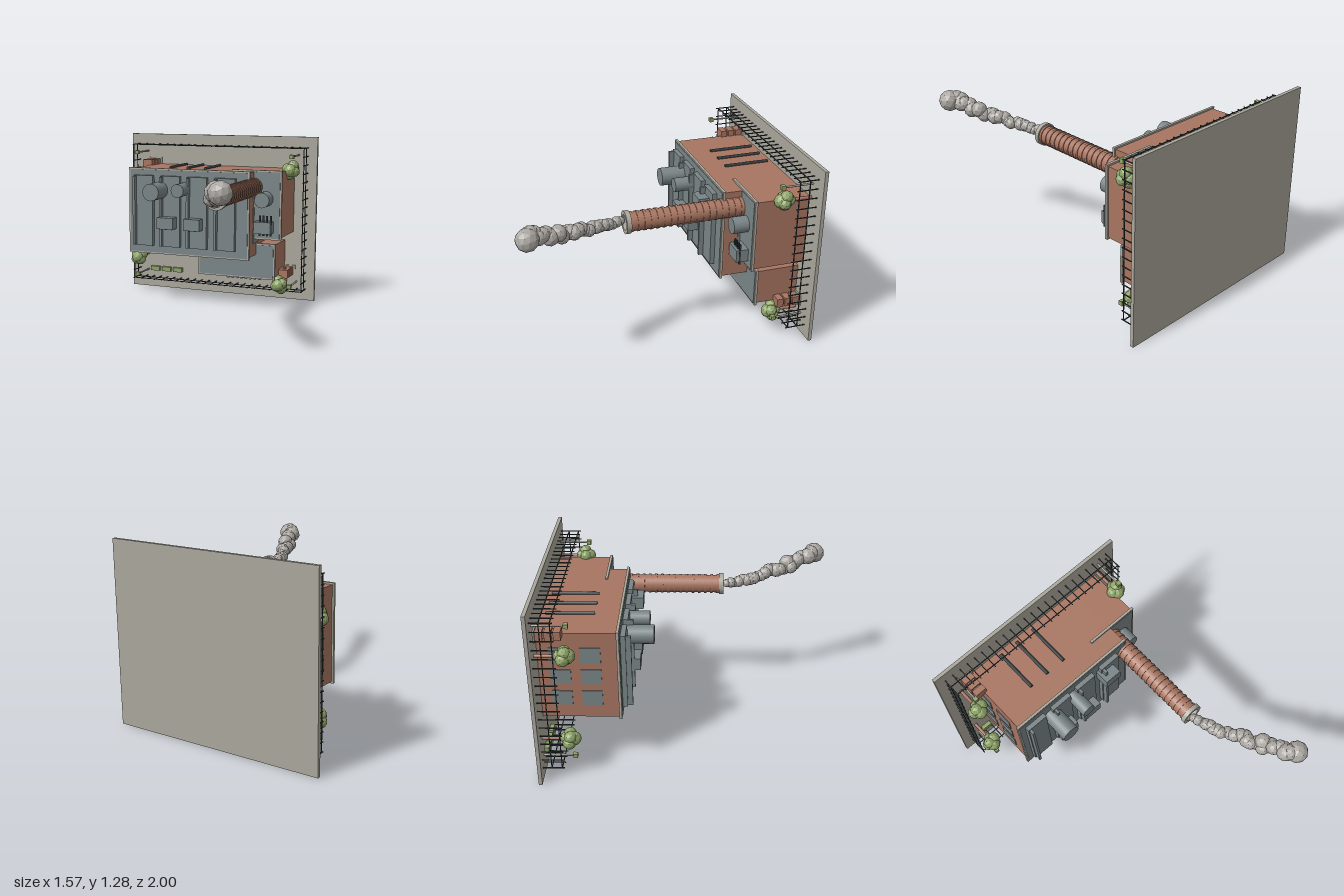
import * as THREE from 'three';

const mat = (name, color, flatShading = false) => {
  const m = new THREE.MeshStandardMaterial({ color, flatShading });
  m.name = name;
  return m;
};

export function createModel() {
  const root = new THREE.Group();
  root.name = 'factory';
  const stone = mat('stone', 0xaaa79c);
  const slate = mat('slate', 0x7a8587);
  const brick = mat('brick', 0xa87561);
  const leaf = mat('leaf', 0x8ea468, true);
  const smoke = mat('smoke', 0xaca8a3, true);
  const metal = mat('darkMetal', 0x343c3e);

  let seed = 7;
  const rand = () => (seed = (seed * 16807) % 2147483647) / 2147483647;

  const add = (name, geo, material, x, y, z, parent = root) => {
    const m = new THREE.Mesh(geo, material);
    m.name = name;
    m.position.set(x, y, z);
    parent.add(m);
    return m;
  };
  // Box given by its limits on each axis
  const box = (name, material, x0, x1, y0, y1, z0, z1, parent) =>
    add(name, new THREE.BoxGeometry(x1 - x0, y1 - y0, z1 - z0), material,
      (x0 + x1) / 2, (y0 + y1) / 2, (z0 + z1) / 2, parent);
  // Cylinder standing on the base plate, its axis along z
  const post = (name, material, x, y, z0, z1, r, sides = 20, parent = root) =>
    add(name, new THREE.CylinderGeometry(r, r, z1 - z0, sides).rotateX(Math.PI / 2),
      material, x, y, (z0 + z1) / 2, parent);
  const blob = (name, material, x, y, z, r, parent) => {
    const m = add(name, new THREE.IcosahedronGeometry(r, 1), material, x, y, z, parent);
    m.rotation.set(rand() * 6, rand() * 6, rand() * 6);
    return m;
  };

  const floor = -0.975;
  box('basePlate', stone, -0.785, 0.785, 0, 1.285, -1, floor);

  // Brick halls with a stone parapet and a slate roof
  const hall = (name, x0, x1, y0, y1, top) => {
    const g = new THREE.Group();
    g.name = name;
    root.add(g);
    box('walls', brick, x0, x1, y0, y1, floor, top - 0.018, g);
    box('parapet', stone, x0 - 0.012, x1 + 0.012, y0 - 0.012, y1 + 0.012, top - 0.018, top, g);
    box('roof', slate, x0, x1, y0, y1, top - 0.001, top + 0.004, g);
  };
  hall('mainHall', -0.55, 0.405, 0.4, 1.04, -0.442);
  hall('sideHall', 0.24, 0.608, 0.542, 1.04, -0.585);
  hall('frontHall', -0.057, 0.543, 0.222, 0.475, -0.655);

  // Roof lights, each with a raised rib
  for (const x of [-0.508, -0.286, -0.067, 0.155]) {
    box('roofLight', slate, x, x + 0.16, 0.455, 0.997, -0.442, -0.405);
    box('roofRib', slate, x + 0.008, x + 0.026, 0.462, 0.99, -0.442, -0.37);
  }

  // Roof equipment
  for (const [x, y, w] of [[0.198, 0.898, 0.125], [-0.215, 0.645, 0.13], [-0.001, 0.645, 0.13]]) {
    box('ventBox', slate, x - w / 2, x + w / 2, y - 0.044, y + 0.044, -0.442, -0.33);
    for (let i = -2; i <= 2; i++) {
      box('ventFin', metal, x + i * 0.024 - 0.003, x + i * 0.024 + 0.003, y - 0.049, y - 0.043, -0.42, -0.345);
    }
  }
  post('largeTank', slate, -0.286, 0.889, -0.442, -0.23, 0.065, 24);
  post('smallTank', slate, -0.088, 0.905, -0.442, -0.268, 0.05, 24);
  post('sideTank', slate, 0.5, 0.84, -0.585, -0.473, 0.057, 24);
  box('cooler', slate, 0.433, 0.563, 0.586, 0.675, -0.585, -0.495);
  for (let i = 0; i < 4; i++) {
    const x = 0.475 + i * 0.028;
    box('coolerPipe', metal, x - 0.006, x + 0.006, 0.57, 0.722, -0.526, -0.514);
  }

  // Wall pipes on the upper side
  for (const x of [-0.288, -0.145, 0]) post('wallPipe', metal, x, 1.045, -0.945, -0.62, 0.012, 8);

  // Windows on both end walls
  for (const [x0, x1] of [[-0.556, -0.549], [0.404, 0.411]]) {
    for (const y of [0.497, 0.66, 0.823]) {
      for (const z of [-0.9, -0.7]) box('endWindow', slate, x0, x1, y, y + 0.11, z, z + 0.135);
    }
  }
  // Window bays and ledges on the lower wall
  for (let i = 0; i < 5; i++) {
    const x = -0.49 + i * 0.185;
    const m = i % 2 ? 0.004 : 0;
    box('bayWindow', metal, x, x + 0.1, 0.393, 0.401, -0.6, -0.475);
    box('bayLedge', stone, x - 0.003, x + 0.103, 0.376 + m, 0.401, -0.65, -0.635);
    box('lowerWindow', slate, x, x + 0.1, 0.394, 0.401, -0.9, -0.7);
  }
  // Loading canopy
  box('canopy', stone, 0.14, 0.43, 0.194, 0.223, -0.735, -0.72);
  for (let i = 0; i < 8; i++) {
    const x = 0.158 + i * 0.036;
    box('canopyPost', stone, x - 0.007, x + 0.007, 0.186, 0.2, floor, -0.72);
  }

  // Ribbed chimney with a stone collar
  const cx = 0.405, cy = 0.927;
  post('chimney', brick, cx, cy, -0.6, 0.215, 0.064, 24);
  for (let i = 0; i < 18; i++) {
    const z = -0.575 + i * 0.045;
    post('chimneyRing', brick, cx, cy, z, z + 0.018, 0.069, 24);
  }
  const ring = new THREE.Shape().absarc(0, 0, 0.078, 0, Math.PI * 2);
  ring.holes.push(new THREE.Path().absarc(0, 0, 0.052, 0, Math.PI * 2, true));
  add('chimneyCollar', new THREE.ExtrudeGeometry(ring, { depth: 0.032, bevelEnabled: false, curveSegments: 16 }),
    stone, cx, cy, 0.209);

  // Smoke trail of growing puffs
  const path = new THREE.CatmullRomCurve3([
    [0.403, 0.93, 0.265], [0.415, 0.937, 0.34], [0.45, 0.952, 0.44], [0.505, 0.975, 0.56],
    [0.57, 0.997, 0.71], [0.635, 1.025, 0.84], [0.688, 1.052, 0.924],
  ].map((p) => new THREE.Vector3(...p)));
  const puffs = 24;
  for (let i = 0; i <= puffs; i++) {
    const t = i / puffs;
    const p = path.getPointAt(t);
    const j = i < puffs ? 0.022 * t + 0.008 : 0;
    blob('smokePuff', smoke, p.x + (rand() - 0.5) * j * 2, p.y + (rand() - 0.5) * j * 2, p.z,
      i < puffs ? 0.034 + 0.028 * t + (rand() - 0.5) * 0.012 : 0.076);
  }

  // Fence around the yard
  const fx = 0.714, f0 = 0.09, f1 = 1.203, r = 0.003;
  for (const z of [-0.845, -0.915]) {
    for (const y of [f0, f1]) box('fenceRail', metal, -fx, fx, y - r, y + r, z - r, z + r);
    for (const s of [-fx, fx]) box('fenceRail', metal, s - r, s + r, f0, f1, z - r, z + r);
  }
  const fencePost = (x, y) => box('fencePost', metal, x - r, x + r, y - r, y + r, floor, -0.828);
  for (let i = 0; i <= 23; i++) {
    for (const y of [f0, f1]) fencePost(-fx + (2 * fx * i) / 23, y);
  }
  for (let i = 1; i < 17; i++) {
    for (const s of [-fx, fx]) fencePost(s, f0 + ((f1 - f0) * i) / 17);
  }

  // Corner lamps
  for (const x of [-0.642, 0.642]) {
    for (const y of [0.145, 1.145]) {
      post('lampPost', stone, x, y, floor, -0.77, 0.007, 8);
      box('lampHead', leaf, x - 0.015, x + 0.015, y - 0.015, y + 0.015, -0.775, -0.745);
    }
  }

  // Small brick stacks with stone slabs between the courses
  for (const [x, y] of [[-0.573, 1.052], [0.573, 0.232]]) {
    const g = new THREE.Group();
    g.name = 'brickStack';
    root.add(g);
    box('slab', stone, x - 0.057, x + 0.057, y - 0.042, y + 0.042, floor, -0.965, g);
    for (let i = 0; i < 3; i++) {
      const z = -0.965 + i * 0.058;
      box('course', brick, x - 0.042, x + 0.042, y - 0.032, y + 0.032, z, z + 0.046, g);
      if (i < 2) box('joint', brick, x - 0.03, x + 0.03, y - 0.02, y + 0.02, z + 0.045, z + 0.059, g);
    }
  }

  // Hedges
  for (const x of [-0.572, -0.472, -0.372]) {
    box('hedge', leaf, x - 0.039, x + 0.039, 0.141, 0.177, floor, -0.945);
  }

  // Trees
  const crown = [[0, 0, 0.02, 0.05], [-0.03, -0.012, -0.01, 0.046], [0.032, 0.012, -0.008, 0.044],
    [0.012, -0.026, 0.008, 0.042], [-0.012, 0.024, 0, 0.044], [0.005, 0, -0.035, 0.04]];
  for (const [x, y, a] of [[-0.643, 0.927, 0], [-0.643, 0.285, 0.3], [0.555, 0.15, 1.6], [0.632, 1.043, 0.8]]) {
    const tree = new THREE.Group();
    tree.name = 'tree';
    tree.position.set(x, y, -0.782);
    tree.rotation.z = a;
    root.add(tree);
    post('trunk', brick, 0, 0, floor + 0.782, 0, 0.012, 8, tree);
    for (const [bx, by, bz, br] of crown) blob('leaves', leaf, bx, by, bz, br, tree);
  }
  return root;
}
